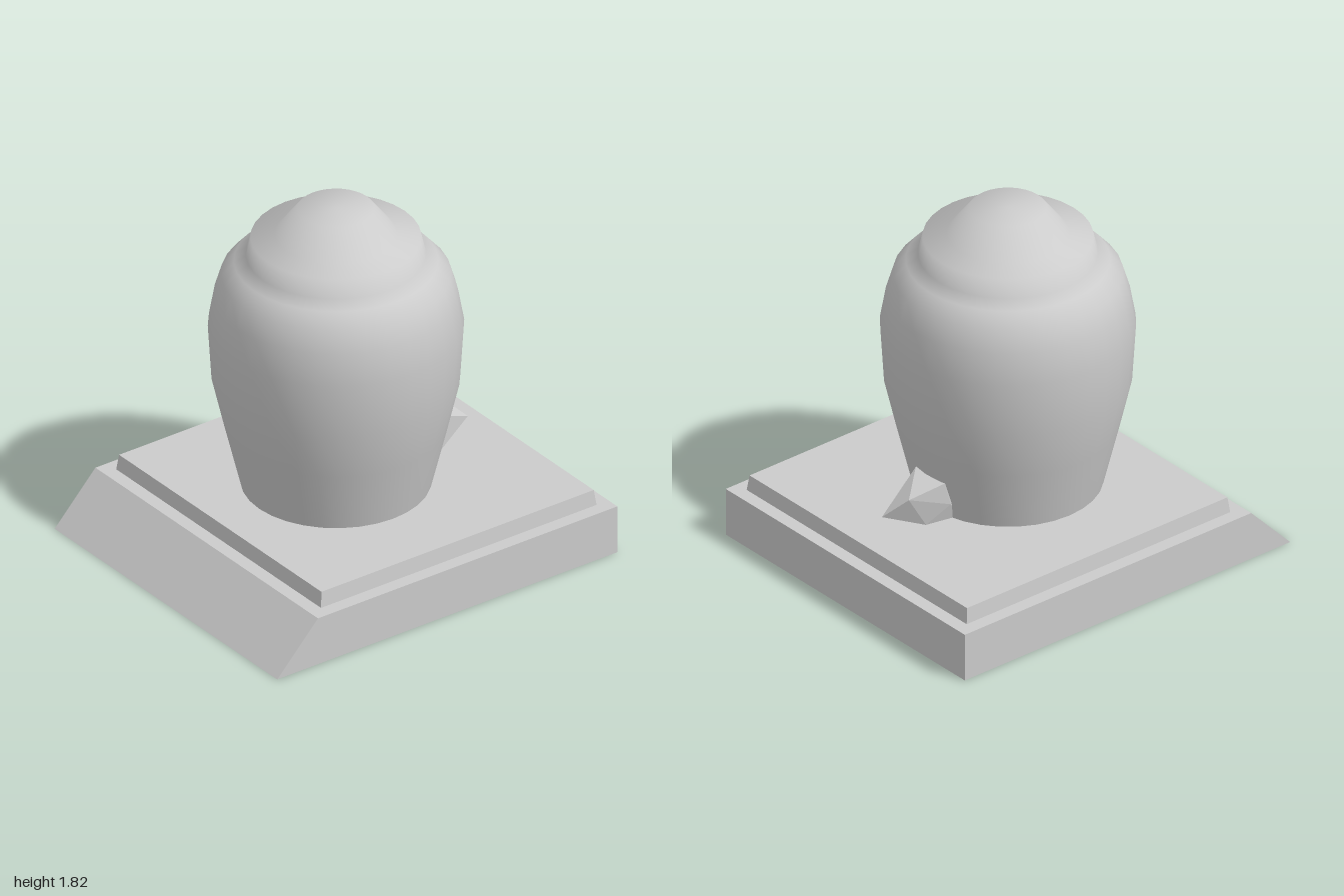
import * as THREE from 'three';
import { ConvexGeometry } from 'three/addons/geometries/ConvexGeometry.js';

const grey = new THREE.MeshStandardMaterial({ color: 0xcccccc });
const flatGrey = new THREE.MeshStandardMaterial({ color: 0xcccccc, flatShading: true });

function addPart(group, name, geometry, material) {
  const mesh = new THREE.Mesh(geometry, material);
  mesh.name = name;
  group.add(mesh);
  return mesh;
}

// Slab with a sloped front: side profile (z, y) extruded across x
function slabGeometry() {
  const shape = new THREE.Shape([[-1, 0], [1, 0], [0.76, 0.25], [-1, 0.25]]
    .map(([z, y]) => new THREE.Vector2(z, y)));
  return new THREE.ExtrudeGeometry(shape, { depth: 1.76, bevelEnabled: false })
    .translate(0, 0, -0.88)
    .rotateY(-Math.PI / 2);
}

// Thin step whose top edge is drawn in slightly
function stepGeometry() {
  const geometry = new THREE.BoxGeometry(1.62, 0.08, 1.62);
  const p = geometry.attributes.position;
  for (let i = 0; i < p.count; i++) {
    if (p.getY(i) > 0) {
      p.setX(i, p.getX(i) * 0.988);
      p.setZ(i, p.getZ(i) * 0.988);
    }
  }
  return geometry.translate(0, 0.29, -0.12);
}

// Round body and lid, running down through the base
function urnGeometry() {
  const profile = [
    [0, 0.002], [0.365, 0.002], [0.452, 0.33], [0.53, 0.65], [0.588, 0.9],
    [0.606, 1.19], [0.578, 1.35], [0.545, 1.46], [0.483, 1.53], [0.426, 1.565],
    [0.404, 1.66], [0.29, 1.675], [0.183, 1.815], [0, 1.815],
  ].map(([r, y]) => new THREE.Vector2(r, y));
  return new THREE.LatheGeometry(profile, 32);
}

// Faceted spur at the back, with its inner corners buried in the body
function spurGeometry() {
  const points = [
    [0.08, 0.545, -0.5], [-0.12, 0.54, -0.49], [-0.085, 0.505, -0.68],
    [0, 0.41, -0.775], [-0.085, 0.33, -0.575], [0.07, 0.33, -0.565],
    [-0.13, 0.42, -0.46], [-0.12, 0.33, -0.4], [0.08, 0.33, -0.4],
    [-0.12, 0.54, -0.4], [0.08, 0.545, -0.4],
  ].map((c) => new THREE.Vector3(...c));
  return new ConvexGeometry(points);
}

export function createModel() {
  const model = new THREE.Group();
  model.name = 'urnOnBase';
  addPart(model, 'baseSlab', slabGeometry(), flatGrey);
  addPart(model, 'baseStep', stepGeometry(), flatGrey);
  addPart(model, 'urn', urnGeometry(), grey);
  addPart(model, 'backSpur', spurGeometry(), flatGrey);
  return model;
}
